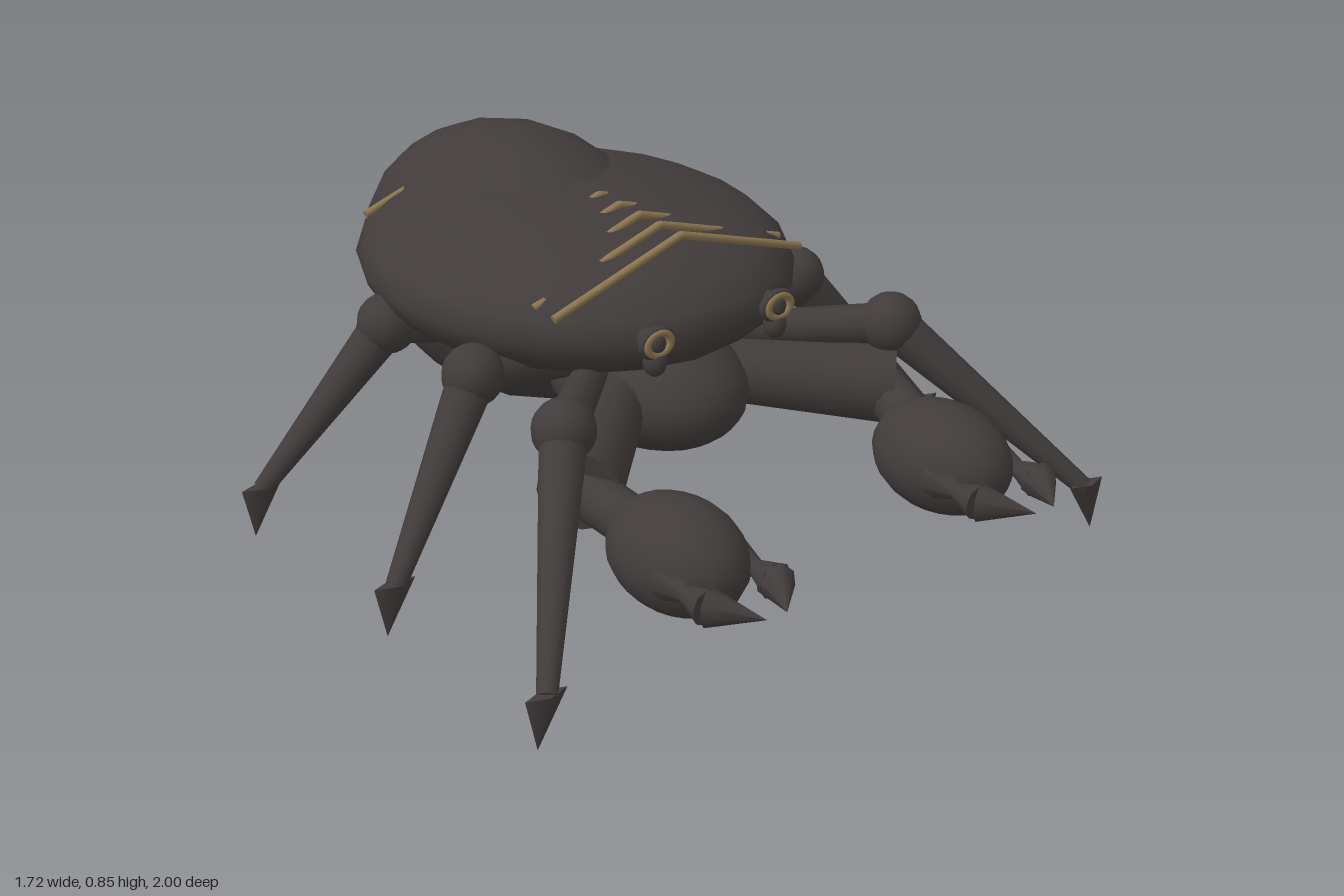
import * as THREE from 'three';
import { mergeVertices } from 'three/addons/utils/BufferGeometryUtils.js';

const shell = new THREE.MeshStandardMaterial({ color: 0x413c3b });
shell.name = 'charcoalShell';
const gold = new THREE.MeshStandardMaterial({ color: 0x8c7650 });
gold.name = 'dullGold';

const V = (x, y, z) => new THREE.Vector3(x, y, z);
const UP = V(0, 1, 0);

function add(parent, name, geometry, material = shell) {
  const mesh = new THREE.Mesh(geometry, material);
  mesh.name = name;
  parent.add(mesh);
  return mesh;
}

function ellipsoid(parent, name, center, radii, w = 24, h = 16) {
  const mesh = add(parent, name, new THREE.SphereGeometry(1, w, h));
  mesh.position.copy(center);
  mesh.scale.copy(radii);
  return mesh;
}

// Coarser, smooth-shaded body shell with a corner at its top
function bodyShell(parent, name, center, radii) {
  let geometry = new THREE.IcosahedronGeometry(1, 3);
  geometry.deleteAttribute('uv');
  geometry = mergeVertices(geometry, 1e-4);
  geometry.rotateZ(-Math.atan(2 / (1 + Math.sqrt(5))));
  geometry.scale(radii.x, radii.y, radii.z);
  geometry.computeVertexNormals();
  add(parent, name, geometry).position.copy(center);
}

// Tapered cylinder running from point a to point b
function limb(parent, name, a, b, ra, rb, sides = 12, material = shell) {
  const dir = b.clone().sub(a);
  const mesh = add(parent, name, new THREE.CylinderGeometry(rb, ra, dir.length(), sides), material);
  mesh.position.copy(a).add(b).multiplyScalar(0.5);
  mesh.quaternion.setFromUnitVectors(UP, dir.normalize());
  return mesh;
}

function walkingLeg(s, kneeZ, footZ, hipZ) {
  const leg = new THREE.Group();
  leg.name = 'walkingLeg';
  const knee = V(s * 0.485, 0.51, kneeZ);
  const ankle = V(s * 0.8, 0.12, footZ);
  limb(leg, 'upperLeg', V(s * 0.2, 0.47, hipZ), knee, 0.04, 0.05);
  ellipsoid(leg, 'knee', knee, V(0.075, 0.075, 0.075), 16, 12);
  limb(leg, 'lowerLeg', knee, ankle, 0.058, 0.024);
  // Flat pointed foot, its tip leaning outwards
  const foot = new THREE.ConeGeometry(0.055, 0.13, 4);
  foot.rotateX(Math.PI);
  foot.scale(1, 1, 0.36);
  const p = foot.attributes.position;
  for (let i = 0; i < p.count; i++) {
    if (p.getY(i) < 0) p.setX(i, p.getX(i) + s * 0.025);
  }
  foot.computeVertexNormals();
  add(leg, 'foot', foot).position.set(s * 0.805, 0.065, footZ + 0.005);
  return leg;
}

function clawArm(s) {
  const arm = new THREE.Group();
  arm.name = 'clawArm';
  const palm = V(s * 0.393, 0.297, 0.66);
  limb(arm, 'upperArm', V(s * 0.12, 0.39, 0.08), V(s * 0.47, 0.365, 0.4), 0.075, 0.098, 16);
  limb(arm, 'forearm', V(s * 0.45, 0.36, 0.37), palm, 0.06, 0.06);
  ellipsoid(arm, 'palm', palm, V(0.14, 0.13, 0.192), 20, 14);
  // Two pincers with a narrow neck, pointing toward each other
  for (const k of [-1, 1]) {
    const at = (d, z) => V(palm.x + k * d, 0.297, z);
    limb(arm, 'pincerBase', at(0.085, 0.74), at(0.097, 0.815), 0.052, 0.02, 8);
    limb(arm, 'pincerNeck', at(0.097, 0.8), at(0.093, 0.885), 0.016, 0.044, 8);
    limb(arm, 'pincerTip', at(0.093, 0.884), at(0.028, 1.0), 0.045, 0.0005, 8);
  }
  return arm;
}

function eye(s) {
  const group = new THREE.Group();
  group.name = 'eye';
  limb(group, 'eyeStalk', V(s * 0.178, 0.6, 0.15), V(s * 0.178, 0.615, 0.3), 0.03, 0.028);
  ellipsoid(group, 'eyeball', V(s * 0.178, 0.61, 0.3), V(0.026, 0.026, 0.02), 12, 8);
  ellipsoid(group, 'lowerLid', V(s * 0.178, 0.565, 0.295), V(0.028, 0.036, 0.03), 12, 8);
  // Dark rim with a gold ring set into its front
  const rings = [['eyeRim', 0.04, 0.302, shell], ['eyeRing', 0.034, 0.307, gold]];
  for (const [name, radius, z, material] of rings) {
    const ring = add(group, name, new THREE.TorusGeometry(radius, 0.012, 8, 20), material);
    ring.position.set(s * 0.178, 0.615, z);
    ring.scale.y = 0.8;
  }
  return group;
}

export function createModel() {
  const model = new THREE.Group();
  model.name = 'armouredArachnid';

  // Body
  bodyShell(model, 'carapace', V(0, 0.602, -0.265), V(0.517, 0.194, 0.585));
  bodyShell(model, 'abdomen', V(0, 0.512, -0.51), V(0.342, 0.343, 0.49));
  ellipsoid(model, 'thorax', V(0, 0.382, 0.03), V(0.212, 0.158, 0.295), 24, 16);

  // Limbs and eyes, mirrored
  for (const s of [-1, 1]) {
    model.add(walkingLeg(s, 0.365, 0.735, 0.08));
    model.add(walkingLeg(s, 0.005, 0.14, 0));
    model.add(walkingLeg(s, -0.365, -0.46, -0.25));
    model.add(clawArm(s));
    model.add(eye(s));
  }

  // Gold chevron ridges, partly sunk in the carapace
  for (const z of [0.16, 0.08, 0, -0.08, -0.16, -0.645]) {
    const ridge = new THREE.Group();
    ridge.name = 'chevronRidge';
    for (const s of [-1, 1]) {
      limb(ridge, 'ridgeBar', V(0, 0.79, z), V(s * 0.364, 0.672, z), 0.01, 0.01, 8, gold);
    }
    model.add(ridge);
  }
  return model;
}
